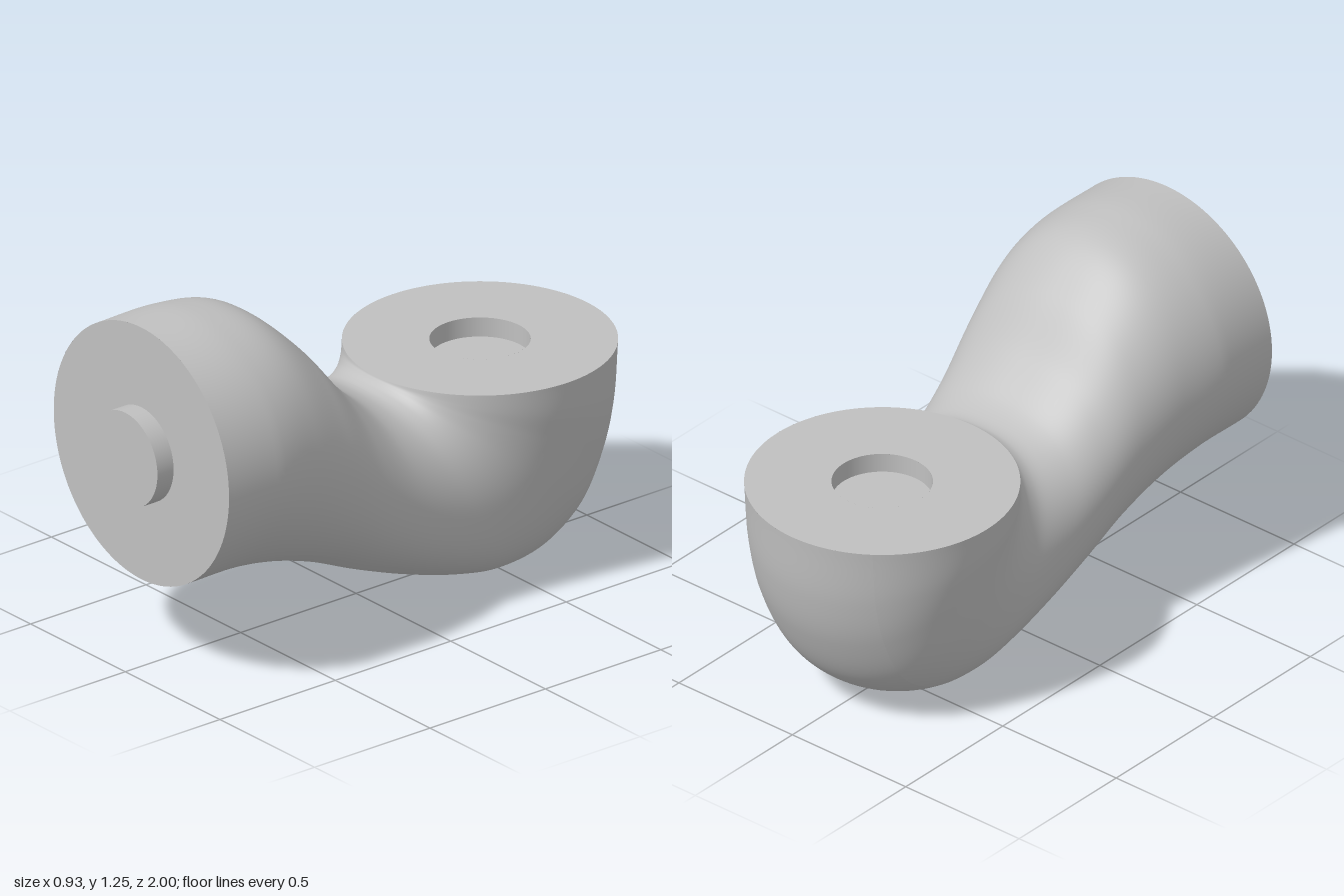
import * as THREE from 'three';

const R = 0.463, HOLE = 0.17, MID = 0.783, BACK = -0.537, DEPTH = 0.07;
const CREASE = THREE.MathUtils.degToRad(36.5);

// Stations along the elbow: outer z, outer y, inner z, inner y, half width
const stations = [
  [0.93, 0.32, 0.93, 1.246, R],
  [0.7, 0.32, 0.7, 1.246, R],
  [0.5, 0.29, 0.53, 1.21, 0.435],
  [0.3, 0.23, 0.37, 1.08, 0.405],
  [0.1, 0.145, 0.22, 0.9, 0.385],
  [-0.1, 0.072, 0.1, 0.79, 0.375],
  [-0.3, 0.018, 0.02, 0.753, 0.375],
  [-0.45, 0, -0.02, 0.748, 0.38],
  [-0.65, 0.04, -0.045, 0.755, 0.395],
  [-0.82, 0.16, -0.06, 0.765, 0.415],
  [-0.93, 0.36, -0.068, 0.773, 0.437],
  [-0.98, 0.55, -0.072, 0.778, 0.455],
  [-1, MID, -0.074, MID, R],
];
const outer = new THREE.CatmullRomCurve3(stations.map(s => new THREE.Vector3(s[4], s[1], s[0])));
const inner = new THREE.CatmullRomCurve3(stations.map(s => new THREE.Vector3(s[4], s[3], s[2])));

// Point on a cross-section: round belly up to the crease, then narrowed sides
function sectionPoint(t, angle) {
  const b = outer.getPoint(t), u = inner.getPoint(t);
  const ratio = Math.min(b.x / R, 1);
  b.x = u.x = 0;
  u.sub(b);
  const length = u.length();
  u.normalize();
  const a = angle > Math.PI ? 2 * Math.PI - angle : angle;
  const side = angle > Math.PI ? -1 : 1;
  const c = Math.cos(a), cc = Math.cos(CREASE), sag = R * (1 - cc);
  let x = R * Math.sin(a), along = R * (1 - c);
  if (a > CREASE) {
    const k = Math.min((a - CREASE) / (Math.PI / 2 - CREASE), 1);
    const power = a > Math.PI / 2 ? 1 - 1.3 * (1 - ratio) : 1;
    x = R * Math.pow(Math.max(Math.sin(a), 0), power) * (1 - (1 - ratio) * Math.sin(k * Math.PI / 2));
    along = sag + (length - sag) * (cc - c) / (cc + 1);
  }
  return b.addScaledVector(u, along).setX(x * side);
}

// Smooth strip of the loft between two section angles
function loftStrip(from, to, cols) {
  const rows = 120, pos = [], index = [];
  for (let i = 0; i <= rows; i++) {
    for (let j = 0; j <= cols; j++) {
      const a = from + (to - from) * j / cols;
      pos.push(...sectionPoint(i / rows, a < 0 ? a + 2 * Math.PI : a).toArray());
      if (i < rows && j < cols) {
        const p = i * (cols + 1) + j, q = p + cols + 1;
        index.push(p, q, p + 1, q, q + 1, p + 1);
      }
    }
  }
  const g = new THREE.BufferGeometry();
  g.setAttribute('position', new THREE.Float32BufferAttribute(pos, 3));
  g.setIndex(index);
  g.computeVertexNormals();
  return g;
}

export function createModel() {
  const group = new THREE.Group();
  const grey = new THREE.MeshStandardMaterial({ color: 0xc0c0c0, side: THREE.DoubleSide });
  grey.name = 'plain grey';
  const add = (name, geometry) => {
    const mesh = new THREE.Mesh(geometry, grey);
    mesh.name = name;
    group.add(mesh);
  };

  // Curved body, split along the crease
  add('belly', loftStrip(-CREASE, CREASE, 28));
  add('sidesAndInnerBend', loftStrip(CREASE, 2 * Math.PI - CREASE, 100));

  // Front end with its peg
  add('frontFace', new THREE.CircleGeometry(R, 128).translate(0, MID, 0.93));
  add('frontPeg', new THREE.CylinderGeometry(HOLE, HOLE, DEPTH, 64)
    .rotateX(Math.PI / 2).translate(0, MID, 0.93 + DEPTH / 2));

  // Top end with its round socket
  add('topFace', new THREE.RingGeometry(HOLE, R, 128)
    .rotateX(-Math.PI / 2).translate(0, MID, BACK));
  add('socketWall', new THREE.CylinderGeometry(HOLE, HOLE, DEPTH, 64, 1, true)
    .translate(0, MID - DEPTH / 2, BACK));
  add('socketFloor', new THREE.CircleGeometry(HOLE, 64)
    .rotateX(-Math.PI / 2).translate(0, MID - DEPTH, BACK));

  return group;
}
